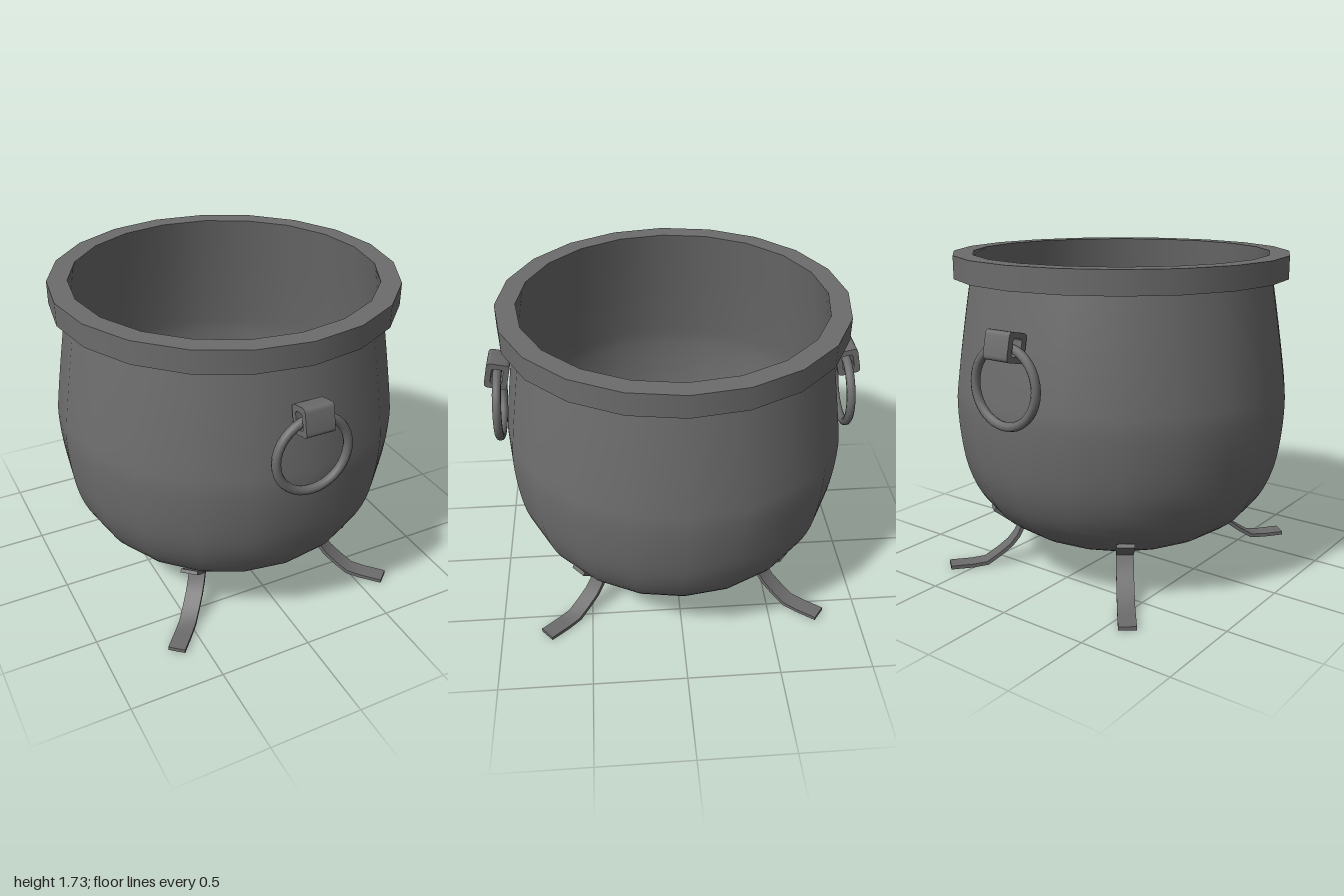
import * as THREE from 'three';
import { toCreasedNormals } from 'three/addons/utils/BufferGeometryUtils.js';

const SIDES = 20;
const iron = new THREE.MeshStandardMaterial({ color: 0x6c6c6c });
const thinIron = new THREE.MeshStandardMaterial({ color: 0x6c6c6c, side: THREE.DoubleSide });

const vec = ([x, y]) => new THREE.Vector2(x, y);

function addMesh(parent, name, geometry, material = iron) {
  const mesh = new THREE.Mesh(geometry, material);
  mesh.name = name;
  parent.add(mesh);
  return mesh;
}

// Extrudes a shape centred on its depth, with crisp edges
function slab(shape, depth) {
  const geometry = new THREE.ExtrudeGeometry(shape, { depth, bevelEnabled: false, curveSegments: 4 });
  return toCreasedNormals(geometry.translate(0, 0, -depth / 2), 0.6);
}

// Closed outline of a strip of constant thickness along a polyline
function stripShape(points, thickness) {
  const path = points.map(vec);
  const left = [], right = [];
  path.forEach((p, i) => {
    const before = p.clone().sub(path[Math.max(i - 1, 0)]).normalize();
    const after = path[Math.min(i + 1, path.length - 1)].clone().sub(p).normalize();
    const tangent = before.clone().add(after).normalize();
    const straight = i === 0 ? after : before;
    const miter = thickness / 2 / Math.max(tangent.dot(straight), 0.6);
    const normal = new THREE.Vector2(-tangent.y, tangent.x).multiplyScalar(miter);
    left.push(p.clone().add(normal));
    right.unshift(p.clone().sub(normal));
  });
  return new THREE.Shape([...left, ...right]);
}

function roundedRect(path, w, h, r) {
  const x = w / 2, y = h / 2;
  path.moveTo(-x + r, -y);
  path.lineTo(x - r, -y);
  path.quadraticCurveTo(x, -y, x, -y + r);
  path.lineTo(x, y - r);
  path.quadraticCurveTo(x, y, x - r, y);
  path.lineTo(-x + r, y);
  path.quadraticCurveTo(-x, y, -x, y - r);
  path.lineTo(-x, -y + r);
  path.quadraticCurveTo(-x, -y, -x + r, -y);
  return path;
}

// Square loop bracket with a ring hanging through it, facing +z
function createHandle() {
  const handle = new THREE.Group();
  handle.name = 'handle';

  const loop = roundedRect(new THREE.Shape(), 0.12, 0.146, 0.024);
  loop.holes.push(roundedRect(new THREE.Path(), 0.06, 0.086, 0.014));
  const bracket = addMesh(handle, 'handleBracket', slab(loop, 0.154).rotateZ(0.22).rotateY(-Math.PI / 2));
  bracket.position.set(0, 1.353, 0.928);

  const ring = addMesh(handle, 'handleRing', new THREE.TorusGeometry(0.196, 0.0235, 10, 36));
  ring.position.set(0, 1.158, 0.936);
  ring.rotation.x = -0.04;
  return handle;
}

export function createModel() {
  const model = new THREE.Group();
  model.name = 'cauldron';

  // Bellied pot: one thin wall from the flat bottom up to the mouth
  const side = new THREE.SplineCurve([
    [0.345, 0.17], [0.53, 0.21], [0.7, 0.313], [0.802, 0.43], [0.87, 0.588],
    [0.902, 0.765], [0.914, 0.95], [0.903, 1.08], [0.863, 1.35], [0.82, 1.61], [0.8, 1.73],
  ].map(vec));
  const profile = [new THREE.Vector2(0, 0.17), ...side.getPoints(30)];
  addMesh(model, 'pot', new THREE.LatheGeometry(profile, SIDES), thinIron);

  // Square-section rim around the mouth; doubled points keep its corners sharp
  addMesh(model, 'rim', new THREE.LatheGeometry([
    [0.8, 1.61], [0.905, 1.61], [0.905, 1.61], [0.905, 1.73], [0.905, 1.73], [0.8, 1.73],
  ].map(vec), SIDES));

  // Handles at front and back
  for (const turn of [0, Math.PI]) {
    const handle = createHandle();
    handle.rotation.y = turn;
    model.add(handle);
  }

  // Bent strap legs: a tab against the pot, a sharp knee, then a curve to the foot
  const legGeometry = slab(stripShape([
    [0.74, 0.333], [0.66, 0.272], [0.582, 0.222], [0.615, 0.158], [0.655, 0.11],
    [0.715, 0.065], [0.79, 0.017], [0.87, 0.011], [0.993, 0.014],
  ], 0.02), 0.092);
  for (const degrees of [49.3, 130.7, -52, -128]) {
    addMesh(model, 'leg', legGeometry).rotation.y = -THREE.MathUtils.degToRad(degrees);
  }

  return model;
}
